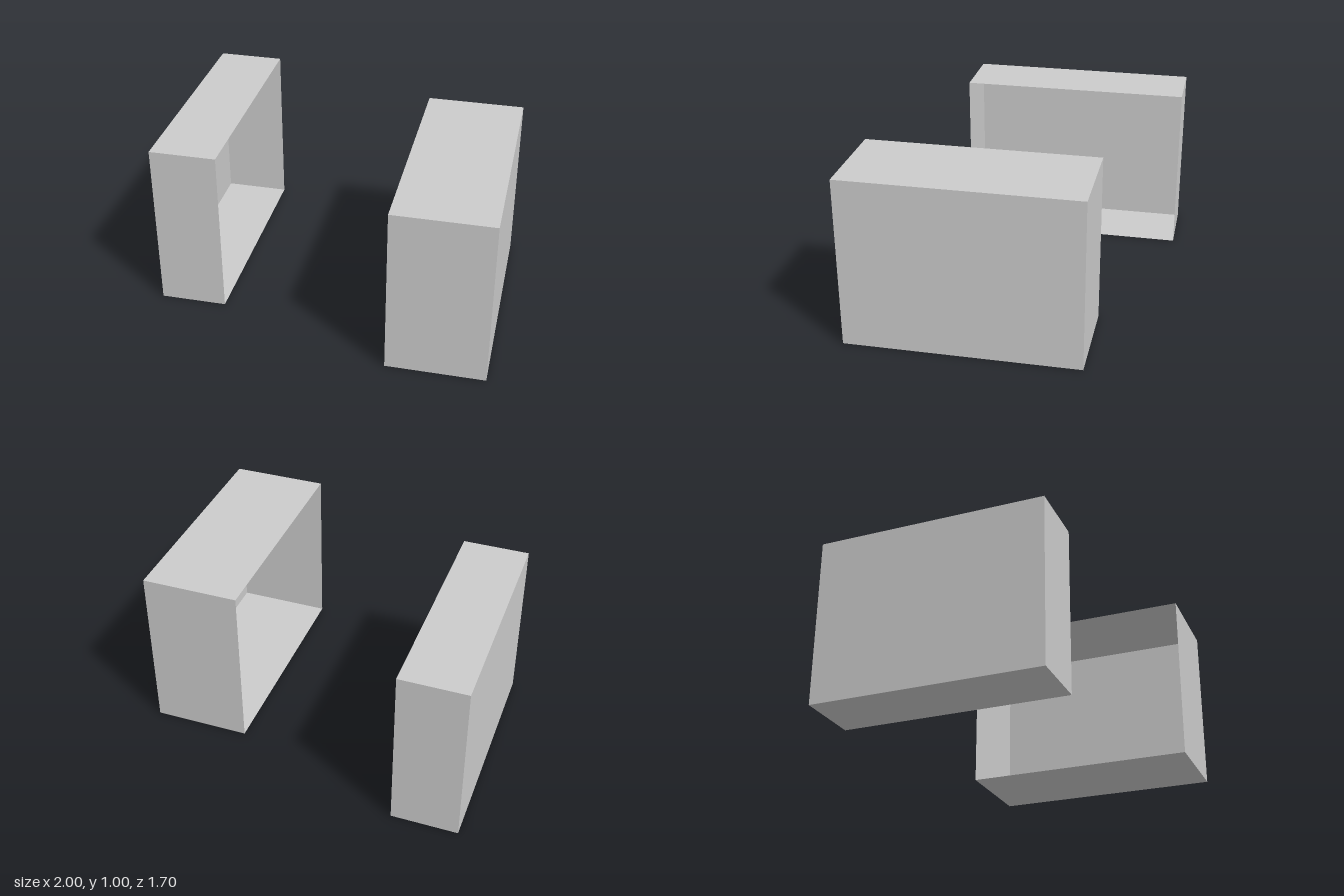
import * as THREE from 'three';

const material = new THREE.MeshStandardMaterial({
  color: 0xcccccc,
  flatShading: true,
  side: THREE.DoubleSide,
});

// Thin-walled box with one side missing: openFace 0 is +x, 1 is -x
function openBox(name, [x0, x1], [z0, z1], height, openFace) {
  const geometry = new THREE.BoxGeometry(x1 - x0, height, z1 - z0);
  const indices = Array.from(geometry.index.array);
  indices.splice(openFace * 6, 6); // six indices per side
  geometry.setIndex(indices);
  geometry.clearGroups();
  const mesh = new THREE.Mesh(geometry, material);
  mesh.name = name;
  mesh.position.set((x0 + x1) / 2, height / 2, (z0 + z1) / 2);
  return mesh;
}

export function createModel() {
  const model = new THREE.Group();
  model.name = 'facingOpenBoxes';

  // Two staggered shells whose open sides face each other
  model.add(openBox('narrowShell', [-1, -0.61], [-0.85, 0.505], 1, 0));
  model.add(openBox('wideShell', [0.43, 1], [-0.505, 0.85], 1, 1));

  return model;
}
